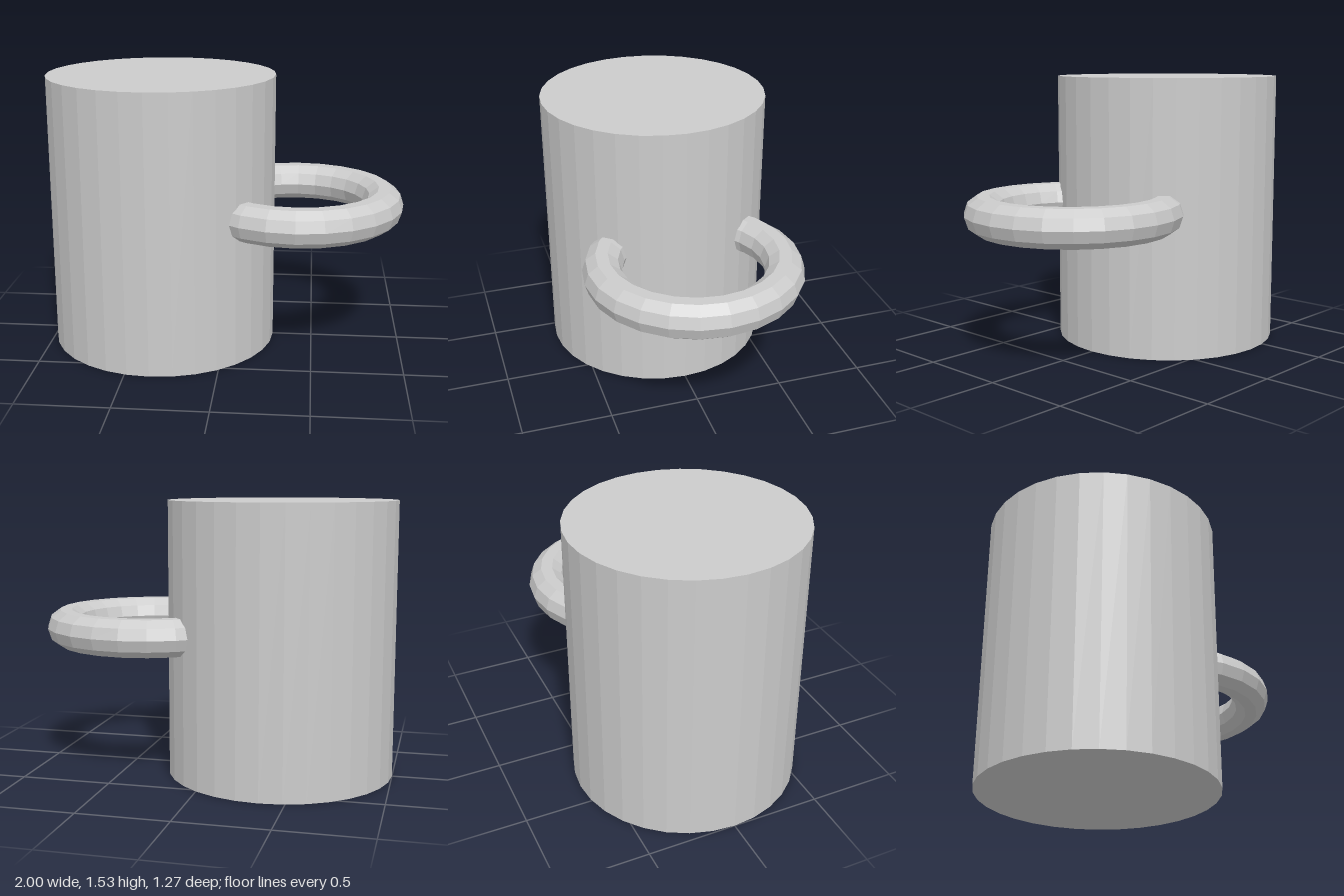
import * as THREE from 'three';

export function createModel() {
  const model = new THREE.Group();
  model.name = 'mug';
  const material = new THREE.MeshStandardMaterial({ color: 0xcccccc, flatShading: true });

  // Solid upright body
  const height = 1.535;
  const radius = 0.637;
  const body = new THREE.Mesh(new THREE.CylinderGeometry(radius, radius, height, 32), material);
  body.name = 'body';
  body.position.set(radius - 1, height / 2, 0);
  model.add(body);

  // Horizontal ring handle, partly sunk into the body
  const ringRadius = 0.49;
  const tubeRadius = 0.107;
  const ring = new THREE.TorusGeometry(ringRadius, tubeRadius, 10, 24).rotateX(-Math.PI / 2);
  const handle = new THREE.Mesh(ring, material);
  handle.name = 'handle';
  handle.position.set(1 - ringRadius - tubeRadius, 0.81, 0);
  model.add(handle);

  return model;
}
